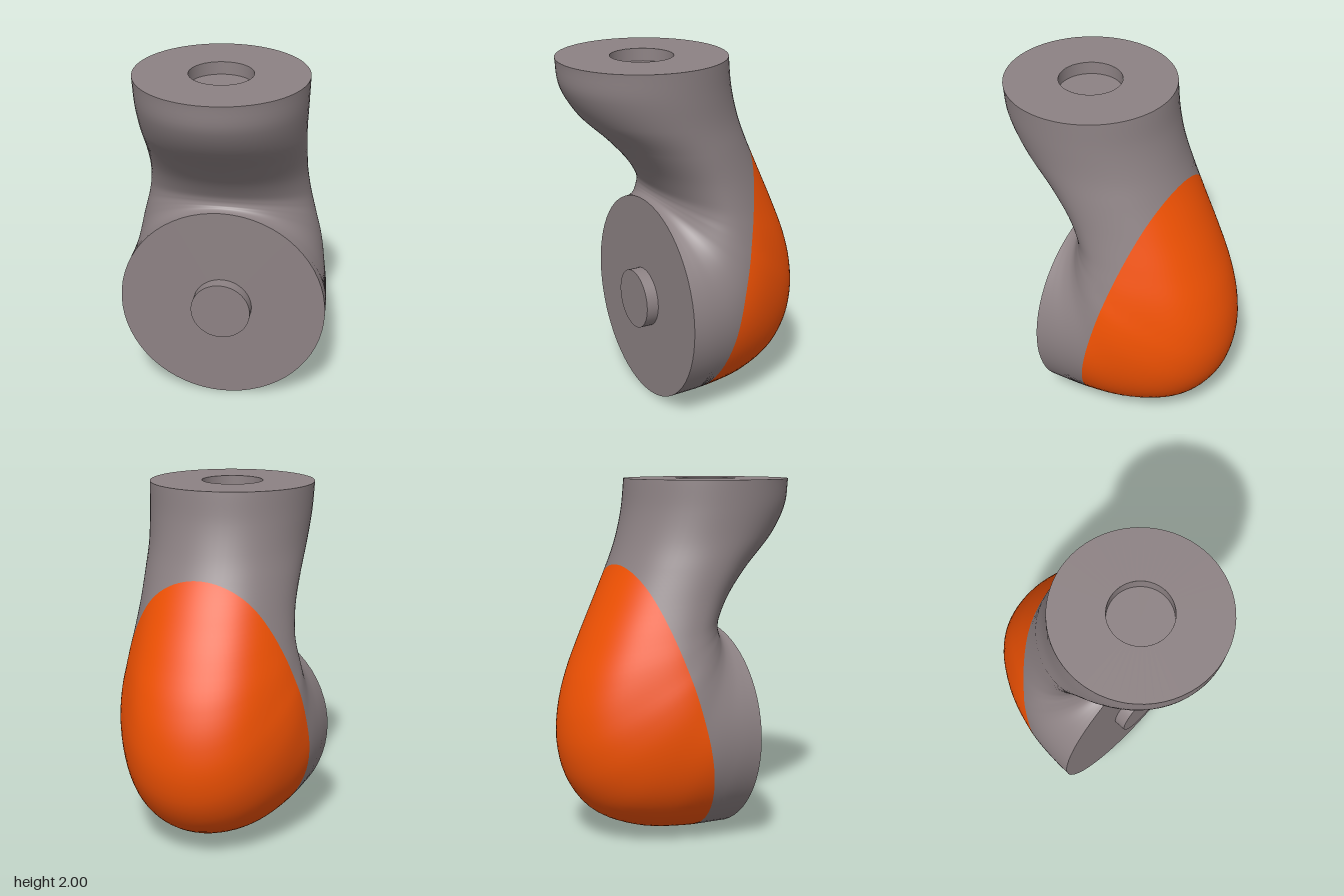
import * as THREE from 'three';

// Side-profile stations: inner z, inner y, outer z, outer y, half width,
// and where the widest point lies between inner (0) and outer (1)
const STATIONS = [
  [0.69, 2, -0.245, 2, 0.4675, 0.5],
  [0.67, 1.85, -0.265, 1.83, 0.46, 0.5],
  [0.57, 1.69, -0.305, 1.67, 0.45, 0.48],
  [0.4, 1.53, -0.36, 1.52, 0.445, 0.45],
  [0.27, 1.39, -0.45, 1.32, 0.445, 0.42],
  [0.195, 1.28, -0.545, 1.11, 0.46, 0.39],
  [0.178, 1.235, -0.63, 0.9, 0.48, 0.37],
  [0.18, 1.21, -0.68, 0.7, 0.5, 0.36],
  [0.185, 1.2, -0.685, 0.5, 0.52, 0.375],
  [0.19, 1.193, -0.63, 0.31, 0.537, 0.4],
  [0.197, 1.188, -0.5, 0.15, 0.553, 0.43],
  [0.205, 1.184, -0.28, 0.05, 0.573, 0.47],
  [0.213, 1.181, -0.03, 0.01, 0.585, 0.49],
  [0.22, 1.18, 0.22, 0, 0.59, 0.5],
];
const curve = (f) => new THREE.CatmullRomCurve3(STATIONS.map(f), false, 'catmullrom', 0.5);
const inner = curve(([z, y, , , w]) => new THREE.Vector3(w, y, z)); // x carries the half width
const outer = curve(([, , z, y, , k]) => new THREE.Vector3(k, y, z)); // x carries the widest spot

// Point on the bent sleeve: s runs from top to front disc, phi = 0 is the outer bend.
// Sections are egg shaped, slightly tapered towards the outer bend.
function surface(s, phi) {
  const a = inner.getPoint(s), b = outer.getPoint(s), k = b.x;
  const c = Math.cos(phi), sn = Math.sin(phi);
  const t = k + c * (c > 0 ? 1 - k : k);
  const taper = c > 0 ? 1 - 0.6 * (0.5 - k) * (Math.sin(2 * phi) * sn) ** 2 : 1;
  return new THREE.Vector3(a.x * sn * taper, a.y + t * (b.y - a.y), a.z + t * (b.z - a.z));
}

function surfaceNormal(s, phi) {
  const e = 1e-3;
  const ds = surface(Math.min(1, s + e), phi).sub(surface(Math.max(0, s - e), phi));
  const dp = surface(s, phi + e).sub(surface(s, phi - e));
  return dp.cross(ds).normalize();
}

// Negative behind the slanted seam of the coloured guard
function seam(s, phi) {
  const { y, z } = surface(s, phi);
  return z - (0.04 - 0.22 * y - 0.064 * Math.max(0, y - 0.6) ** 2);
}

function bisect(f, lo, hi) {
  const sign = f(lo) < 0;
  for (let i = 0; i < 30; i++) {
    const m = (lo + hi) / 2;
    if ((f(m) < 0) === sign) lo = m; else hi = m;
  }
  return (lo + hi) / 2;
}

// Patch of the sleeve; range(s) gives the start and end angle of each row
function patch(rows, columns, range) {
  const pos = [], nor = [], index = [];
  rows.forEach((s, i) => {
    const [from, to] = range(s);
    for (let j = 0; j <= columns; j++) {
      const phi = from + (to - from) * j / columns;
      pos.push(...surface(s, phi).toArray());
      nor.push(...surfaceNormal(s, phi).toArray());
      if (i < rows.length - 1 && j < columns) {
        const a = i * (columns + 1) + j, c = a + columns + 1;
        index.push(a, a + 1, c, a + 1, c + 1, c);
      }
    }
  });
  const g = new THREE.BufferGeometry();
  g.setAttribute('position', new THREE.Float32BufferAttribute(pos, 3));
  g.setAttribute('normal', new THREE.Float32BufferAttribute(nor, 3));
  g.setIndex(index);
  return g;
}

export function createModel() {
  const group = new THREE.Group();
  const body = new THREE.MeshStandardMaterial({ color: 0x8d8284 });
  const bodyOpen = new THREE.MeshStandardMaterial({ color: 0x8d8284, side: THREE.DoubleSide });
  const orange = new THREE.MeshStandardMaterial({ color: 0xf25203 });
  const add = (name, geometry, material = body) => {
    const mesh = new THREE.Mesh(geometry, material);
    mesh.name = name;
    group.add(mesh);
  };

  // Rows, bunched towards both ends of the guard
  const s0 = bisect((s) => seam(s, 0), 0.1, 0.5);
  const s1 = bisect((s) => seam(s, 0), 0.7, 1);
  const span = (a, b, n, ease = (t) => t) =>
    Array.from({ length: n + 1 }, (_, i) => a + (b - a) * ease(i / n));
  const guardRows = span(s0, s1, 56, (t) => (1 - Math.cos(Math.PI * t)) / 2);
  const bodyRows = [...span(0, s0, 16).slice(0, -1), ...guardRows, ...span(s1, 1, 8).slice(1)];
  const edge = (s) => (s > s0 && s < s1 && seam(s, 0) < 0
    ? bisect((p) => seam(s, p), 0, Math.PI) : 0);

  // Bent sleeve and its coloured back guard
  add('sleeve', patch(bodyRows, 64, (s) => [edge(s), 2 * Math.PI - edge(s)]));
  add('backGuard', patch(guardRows, 40, (s) => [-edge(s), edge(s)]), orange);

  // Top face with a round socket
  const topZ = 0.2225, r = 0.173, depth = 0.07;
  add('topFace', new THREE.RingGeometry(r, 0.4675, 64).rotateX(-Math.PI / 2).translate(0, 2, topZ));
  add('socketWall', new THREE.CylinderGeometry(r, r, depth, 48, 1, true)
    .translate(0, 2 - depth / 2, topZ), bodyOpen);
  add('socketFloor', new THREE.CircleGeometry(r, 48).rotateX(-Math.PI / 2)
    .translate(0, 2 - depth, topZ));

  // Front face with a round peg
  add('frontFace', new THREE.CircleGeometry(0.59, 64).translate(0, 0.59, 0.22));
  add('peg', new THREE.CylinderGeometry(0.17, 0.17, depth, 48).rotateX(Math.PI / 2)
    .translate(0, 0.59, 0.22 + depth / 2));

  return group;
}
